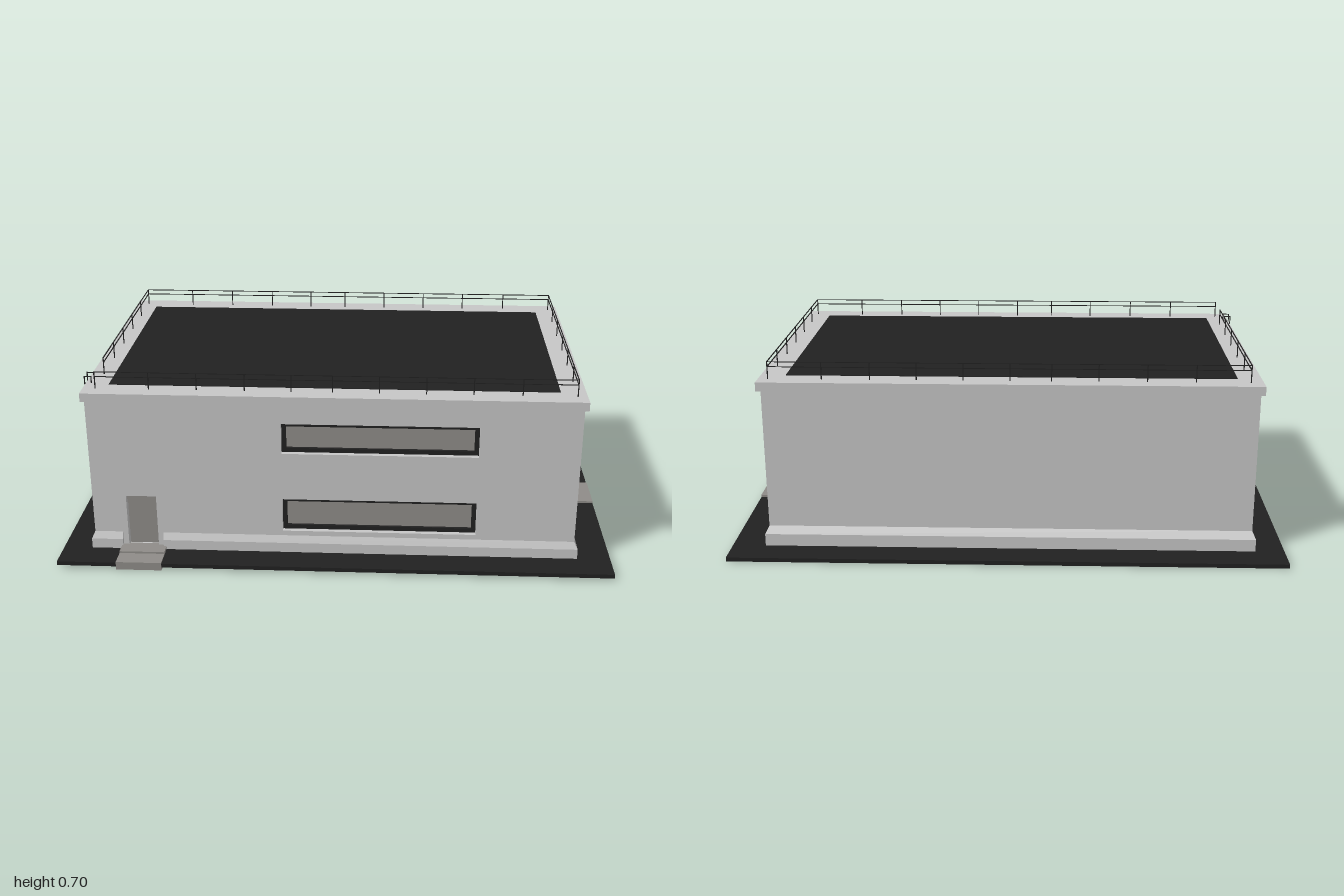
import * as THREE from 'three';

const mat = (name, color, extra = {}) => {
  const m = new THREE.MeshStandardMaterial({ color, ...extra });
  m.name = name;
  return m;
};

export function createModel() {
  const model = new THREE.Group();
  model.name = 'building';
  const wallGrey = mat('wallGrey', 0xc6c6c6, { side: THREE.DoubleSide });
  const warmGrey = mat('warmGrey', 0x8f8c88);
  const dark = mat('darkAsphalt', 0x212121);

  const add = (parent, name, geo, material) => {
    const m = new THREE.Mesh(geo, material);
    m.name = name;
    parent.add(m);
    return m;
  };
  // box given by its min and max corners
  const box = (parent, name, material, x0, x1, y0, y1, z0, z1) => {
    const m = add(parent, name, new THREE.BoxGeometry(x1 - x0, y1 - y0, z1 - z0), material);
    m.position.set((x0 + x1) / 2, (y0 + y1) / 2, (z0 + z1) / 2);
    return m;
  };
  const poly = (pts, Type = THREE.Shape) => new Type(pts.map(p => new THREE.Vector2(...p)));
  const rect = (x0, x1, y0, y1) => [[x0, y0], [x1, y0], [x1, y1], [x0, y1]];
  // flat plate with holes, its front face at z = 0
  const plate = (outer, holes, depth) => {
    const s = poly(outer);
    s.holes = holes.map(h => poly(h, THREE.Path));
    return new THREE.ExtrudeGeometry(s, { depth, bevelEnabled: false }).translate(0, 0, -depth);
  };

  const L = -0.883, R = 0.867, B = -0.522, F = 0.528;      // wall faces
  const PL = -0.895, PR = 0.88, PB = -0.543, PF = 0.54;    // plinth and cap faces
  const y0 = 0.012, yTop = 0.61;

  // Pavement ring, gently falling to the back
  const ring = plate(rect(-1, 1, -0.65, 0.65), [rect(-0.86, 0.84, -0.485, 0.485)], 0.015);
  ring.rotateX(-Math.PI / 2);
  const p = ring.attributes.position;
  for (let i = 0; i < p.count; i++) p.setY(i, p.getY(i) + 0.0215 + 0.007 * p.getZ(i));
  ring.computeVertexNormals();
  add(model, 'pavement', ring, dark);
  box(model, 'floor', warmGrey, -0.87, 0.85, 0.013, 0.02, -0.5, 0.5);

  // Recessed window: dark frame and glazing
  const addWindow = (parent, u0, u1, v0, v1) => {
    const t = 0.016;
    const frame = plate(rect(u0, u1, v0, v1), [rect(u0 + t, u1 - t, v0 + t, v1 - t)], 0.012);
    add(parent, 'windowFrame', frame, dark).position.z = -0.018;
    box(parent, 'windowGlass', warmGrey, u0, u1, v0, v1, -0.034, -0.028);
  };

  // Front wall
  const front = new THREE.Group();
  front.name = 'frontSide';
  front.position.z = F;
  model.add(front);
  const frontWindows = [[-0.19, 0.51, 0.415, 0.53], [-0.19, 0.51, 0.107, 0.235]];
  add(front, 'frontWall', plate(rect(L, R, y0, yTop),
    [...frontWindows.map(w => rect(...w)), rect(-0.76, -0.65, 0.03, 0.235)], 0.035), wallGrey);
  frontWindows.forEach(w => addWindow(front, ...w));
  box(front, 'frontDoor', warmGrey, -0.76, -0.65, 0.03, 0.2, -0.034, -0.028);
  box(front, 'frontDoorTransom', warmGrey, -0.76, -0.65, 0.2, 0.235, -0.034, -0.018);

  // Right wall, with a door that cuts into the lower window (u = -z)
  const right = new THREE.Group();
  right.name = 'rightSide';
  right.rotation.y = Math.PI / 2;
  right.position.x = R;
  model.add(right);
  const sideWindows = [[-0.214, 0.22, 0.415, 0.53], [-0.214, 0.22, 0.105, 0.233]];
  const [u0, u1, v0, v1] = sideWindows[1];
  add(right, 'rightWall', plate(rect(-F, -B, y0, yTop), [
    rect(...sideWindows[0]),
    [[u0, v0], [-0.055, v0], [-0.055, 0.03], [0.055, 0.03], [0.055, v0], [u1, v0], [u1, v1], [u0, v1]],
  ], 0.035), wallGrey);
  sideWindows.forEach(w => addWindow(right, ...w));
  box(right, 'sideDoor', warmGrey, -0.055, 0.055, 0.03, 0.19, -0.034, -0.015);

  // Back and left walls, the left one with a large flush panel
  box(model, 'backWall', wallGrey, L, R, y0, yTop, B, B + 0.035);
  box(model, 'leftWall', wallGrey, L, L + 0.035, y0, yTop, B, F);
  box(model, 'leftWallPanel', warmGrey, L - 0.003, L + 0.002, 0.02, 0.605, -0.5, 0.41);

  // Plinth with a sloped top, swept along runs of [inner, outer] plan points
  const plinthRun = run => {
    const verts = [];
    const tri = (...v) => v.forEach(q => verts.push(...q));
    const sections = run.map(([ix, iz, ox, oz]) =>
      [[ix, y0, iz], [ox, y0, oz], [ox, 0.0625, oz], [ix, 0.088, iz]]);
    for (let i = 0; i < sections.length - 1; i++) {
      const a = sections[i], b = sections[i + 1];
      for (let k = 1; k < 3; k++) tri(a[k], b[k], b[k + 1], a[k], b[k + 1], a[k + 1]);
    }
    const s = sections[0], e = sections[sections.length - 1];
    tri(s[0], s[1], s[2], s[0], s[2], s[3]);
    tri(e[0], e[2], e[1], e[0], e[3], e[2]);
    const g = new THREE.BufferGeometry();
    g.setAttribute('position', new THREE.Float32BufferAttribute(verts, 3));
    g.computeVertexNormals();
    add(model, 'plinth', g, wallGrey);
  };
  plinthRun([[L, 0.41, PL, 0.41], [L, F, PL, PF], [-0.78, F, -0.78, PF]]);
  plinthRun([[-0.63, F, -0.63, PF], [R, F, PR, PF], [R, 0.08, PR, 0.08]]);
  plinthRun([[R, -0.08, PR, -0.08], [R, B, PR, PB], [L, B, PL, PB], [L, -0.5, PL, -0.5]]);

  // Roof cap and roofing
  box(model, 'roofCap', wallGrey, PL, PR, 0.605, 0.637, PB, PF);
  box(model, 'roofing', dark, -0.81, 0.79, 0.635, 0.639, -0.45, 0.45);

  // Entrance steps, two treads each
  box(model, 'frontStepUpper', warmGrey, -0.785, -0.62, 0, 0.037, F - 0.01, 0.585);
  box(model, 'frontStepLower', warmGrey, -0.785, -0.62, 0, 0.03, 0.585, 0.652);
  box(model, 'sideStepUpper', warmGrey, R - 0.01, 0.94, 0, 0.037, -0.085, 0.085);
  box(model, 'sideStepLower', warmGrey, 0.94, 1, 0, 0.03, -0.085, 0.085);

  // Roof railing: posts and two rails per side, with a gap at the ladder
  const railing = new THREE.Group();
  railing.name = 'roofRailing';
  model.add(railing);
  const r = 0.0017;
  const bar = (parent, name, xa, xb, ya, yb, za, zb) =>
    box(parent, name, dark, xa - r, xb + r, ya, yb, za - r, zb + r);
  const post = (x, z) => bar(railing, 'railPost', x, x, 0.635, 0.7, z, z);
  const xs = [-0.85, -0.66, -0.49, -0.32, -0.155, -0.01, 0.155, 0.32, 0.485, 0.655, 0.845];
  const zs = [0.345, 0.175, 0.01, -0.16, -0.33];
  for (const x of xs) for (const z of [-0.495, 0.487]) post(x, z);
  for (const z of zs) for (const x of [-0.85, 0.845]) post(x, z);
  for (const y of [0.68, 0.698]) {
    bar(railing, 'frontRail', -0.85, 0.845, y, y + 0.0025, 0.487, 0.487);
    bar(railing, 'backRail', -0.85, 0.845, y, y + 0.0025, -0.495, -0.495);
    bar(railing, 'rightRail', 0.845, 0.845, y, y + 0.0025, -0.495, 0.487);
    bar(railing, 'leftRail', -0.85, -0.85, y, y + 0.0025, -0.495, 0.345);
  }

  // Wall ladder with bent top handles
  const ladder = new THREE.Group();
  ladder.name = 'ladder';
  model.add(ladder);
  for (const z of [0.393, 0.435]) {
    bar(ladder, 'ladderStile', -0.9, -0.9, 0.04, 0.662, z, z);
    bar(ladder, 'ladderHandle', -0.9, -0.876, 0.659, 0.662, z, z);
    bar(ladder, 'ladderHandlePost', -0.876, -0.876, 0.635, 0.662, z, z);
  }
  for (let y = 0.07; y < 0.63; y += 0.032)
    bar(ladder, 'ladderRung', -0.9, -0.9, y, y + 0.003, 0.393, 0.435);

  return model;
}
